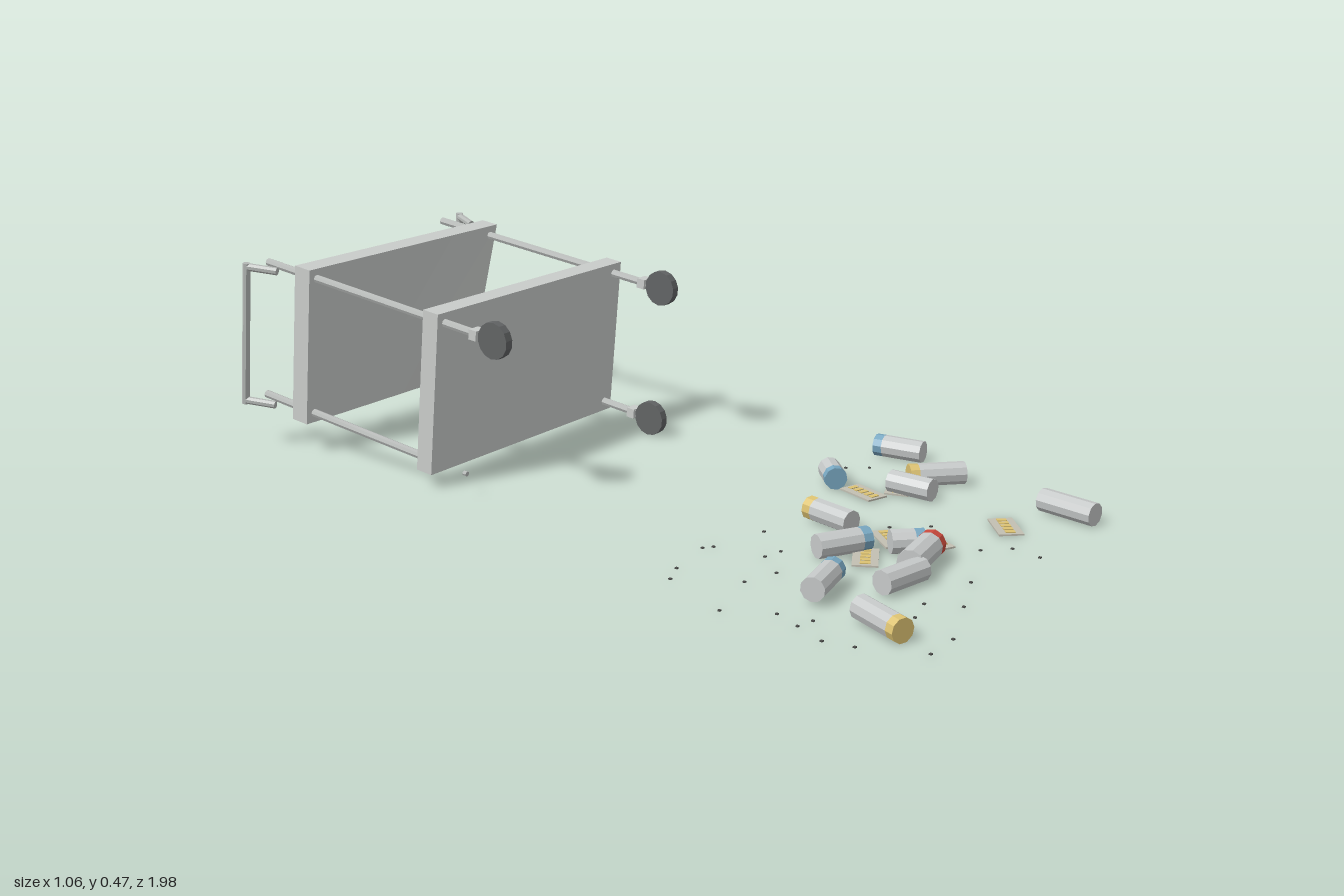
import * as THREE from 'three';

const mat = (name, color, extra = {}) => {
  const m = new THREE.MeshStandardMaterial({ color, flatShading: true, ...extra });
  m.name = name;
  return m;
};

export function createModel() {
  const model = new THREE.Group();
  model.name = 'overturnedTrolley';
  const steel = mat('traySteel', 0xcacdcb);
  const frame = mat('frameGrey', 0xb6b9b7);
  const rubber = mat('wheelRubber', 0x626465);
  const tin = mat('canTin', 0xc6c9c9);
  const gold = mat('gold', 0xdcc272);
  const blue = mat('blue', 0x78a7c1);
  const red = mat('red', 0xcb493c);
  const card = mat('cardBeige', 0xc2bfb2);
  const dark = mat('debrisDark', 0x4c4c4a);

  const add = (parent, name, geo, material, pos = [0, 0, 0]) => {
    const m = new THREE.Mesh(geo, material);
    m.name = name;
    m.position.set(...pos);
    parent.add(m);
    return m;
  };
  const UP = new THREE.Vector3(0, 1, 0);
  // Round bar between two points
  const bar = (parent, name, a, b, r, material, sides = 8) => {
    const p = new THREE.Vector3(...a), q = new THREE.Vector3(...b);
    const d = q.clone().sub(p);
    const m = add(parent, name, new THREE.CylinderGeometry(r, r, d.length(), sides), material);
    m.position.copy(p).add(q).multiplyScalar(0.5);
    m.quaternion.setFromUnitVectors(UP, d.normalize());
    return m;
  };

  // Trolley lying on its side: wheels toward +z, handles toward -z
  const cart = new THREE.Group();
  cart.name = 'trolley';
  cart.rotation.x = 0.0997;
  model.add(cart);

  const CX = -0.0245, W = 0.662, CY = 0.191, H = 0.394;
  const postX = [-0.331, 0.28], postY = [0.019, 0.363];

  // Open tray with a rim; the dent pushes its left edge inward
  const tray = (name, front, depth, dent, bulge) => {
    const g = new THREE.Group();
    g.name = name;
    g.position.set(CX, CY, front - depth / 2);
    cart.add(g);
    const t = 0.008;
    const piece = (part, w, h, d, x, y, z) => {
      const geo = new THREE.BoxGeometry(w, h, d, 4, 2, 1).translate(x, y, z);
      const p = geo.attributes.position;
      for (let i = 0; i < p.count; i++) {
        const k = 1 - Math.abs(p.getY(i)) / (H / 2);
        const side = Math.max(0, p.getX(i) / (W / 2));
        p.setX(i, p.getX(i) - dent * k * side);
        p.setZ(i, p.getZ(i) + bulge * k * side);
      }
      geo.computeVertexNormals();
      add(g, part, geo, steel);
    };
    piece('trayBase', W, H, t, 0, 0, depth / 2 - t / 2);
    for (const s of [-1, 1]) {
      piece('traySideRim', t, H, depth - t, s * (W - t) / 2, 0, -t / 2);
      piece('trayLongRim', W - 2 * t, t, depth - t, 0, s * (H - t) / 2, -t / 2);
    }
  };
  tray('lowerTray', -0.395, 0.046, 0, 0);
  tray('upperTray', -0.815, 0.05, 0.055, 0.014);

  // Caster with the wheel at the origin and its stem along +y
  const caster = (parent, name) => {
    const g = new THREE.Group();
    g.name = name;
    parent.add(g);
    add(g, 'wheel', new THREE.CylinderGeometry(0.043, 0.043, 0.02, 14).rotateZ(Math.PI / 2), rubber);
    add(g, 'fork', new THREE.BoxGeometry(0.016, 0.05, 0.018), frame, [0, 0.045, 0]);
    add(g, 'forkCollar', new THREE.BoxGeometry(0.031, 0.022, 0.024), steel, [0, 0.055, 0]);
    add(g, 'stem', new THREE.CylinderGeometry(0.008, 0.008, 0.012, 8), frame, [0, 0.068, 0]);
    return g;
  };

  // Posts, with one caster broken off
  for (const x of postX) for (const y of postY) {
    const broken = x < 0 && y < 0.1;
    bar(cart, 'post', [x, y, broken ? -0.4 : -0.305], [x, y, -0.985], 0.01, frame);
    if (broken) {
      bar(cart, 'brokenStem', [x, y, -0.305], [x, y, -0.315], 0.006, frame);
      continue;
    }
    const c = caster(cart, 'caster');
    c.position.set(x, y, -0.242);
    c.rotation.x = -Math.PI / 2;
  }
  const loose = caster(model, 'looseCaster');
  loose.position.set(0.504, 0.043, -0.757);

  // Guard rails along the trays
  for (const z of [-0.469, -0.896]) for (const y of postY)
    bar(cart, 'guardRail', [postX[0], y, z], [postX[1], y, z], 0.0045, frame, 6);

  // Handles splayed outward at both ends
  for (const s of [-1, 1]) {
    const inner = CX + s * 0.342, outer = CX + s * 0.374;
    bar(cart, 'handleGrip', [outer, 0.01, -0.988], [outer, 0.372, -0.988], 0.0095, frame);
    for (const y of postY)
      bar(cart, 'handleArm', [inner, y, -0.915], [outer, y, -0.988], 0.0095, frame);
  }

  // Spilled cans: x, z, axis x, axis z, length, cap colour at the axis end, lift
  const cans = [
    [0.496, 0.36, -0.14, -0.99, 0.122, blue, 0],
    [0.24, 0.33, -0.71, 0.7, 0.08, blue, 0],
    [0.28, 0.52, 0, 1, 0.11, null, 0],
    [0.385, 0.525, -0.72, -0.69, 0.135, gold, 0],
    [0.005, 0.475, 0.2, -0.98, 0.128, gold, 0],
    [-0.12, 0.585, 0.88, 0.48, 0.125, blue, 0],
    [-0.33, 0.672, 0.97, -0.22, 0.125, blue, 0.007],
    [-0.415, 0.86, -0.37, 0.93, 0.135, gold, 0],
    [-0.09, 0.76, 0.98, -0.17, 0.135, red, 0.004],
    [-0.203, 0.78, 0.98, 0.2, 0.12, null, 0],
    [-0.03, 0.69, 0.7, 0.7, 0.075, blue, 0],
    [0.37, 0.87, -0.15, 0.99, 0.14, null, 0],
  ];
  for (const [x, z, dx, dz, len, cap, lift] of cans) {
    const r = cap === red ? 0.031 : 0.027;
    const at = (k) => [x + dx * k, r + lift, z + dz * k];
    const split = cap ? len / 2 - 0.022 : len / 2;
    bar(model, 'can', at(-len / 2), at(split), r, tin, 10);
    if (cap) bar(model, 'canCap', at(split), at(len / 2), r, cap, 10);
  }

  // Flat packets with yellow strips: x, z, long axis x, long axis z
  const packets = [
    [0.225, 0.425, -0.3, 0.95], [0.305, 0.475, 0.94, -0.33],
    [0.01, 0.625, -0.62, 0.78], [-0.115, 0.64, 0.87, -0.5],
    [0.02, 0.715, 0.9, 0.43], [0.227, 0.79, -0.73, 0.68],
  ];
  for (const [x, z, dx, dz] of packets) {
    const g = new THREE.Group();
    g.name = 'packet';
    g.position.set(x, 0.004, z);
    g.rotation.y = Math.atan2(dx, dz);
    model.add(g);
    add(g, 'packetCard', new THREE.BoxGeometry(0.056, 0.004, 0.1), card);
    for (let i = -2; i <= 2; i++)
      add(g, 'packetStrip', new THREE.BoxGeometry(0.022, 0.004, 0.012), gold, [0, 0.002, i * 0.018]);
  }

  // Tiny scattered crumbs
  const crumbs = [
    [-0.40, 0.355], [-0.455, 0.38], [-0.255, 0.345], [-0.275, 0.33], [-0.115, 0.38], [-0.235, 0.465],
    [-0.375, 0.51], [-0.295, 0.535], [-0.525, 0.555], [-0.47, 0.655], [-0.495, 0.72], [-0.455, 0.73],
    [-0.525, 0.795], [-0.51, 0.86], [-0.32, 0.88], [-0.25, 0.86], [-0.095, 0.88], [-0.45, 0.99],
    [-0.365, 0.99], [-0.215, 0.93], [0.115, 0.93], [0.125, 0.86], [0.075, 0.81], [0.075, 0.585],
    [0.135, 0.655], [0.085, 0.38], [0.355, 0.295], [0.39, 0.34], [-0.19, 0.475], [-0.145, 0.53],
  ];
  const crumbGeo = new THREE.BoxGeometry(0.006, 0.003, 0.006);
  for (const [x, z] of crumbs) add(model, 'crumb', crumbGeo, dark, [x, 0.0015, z]);

  return model;
}
